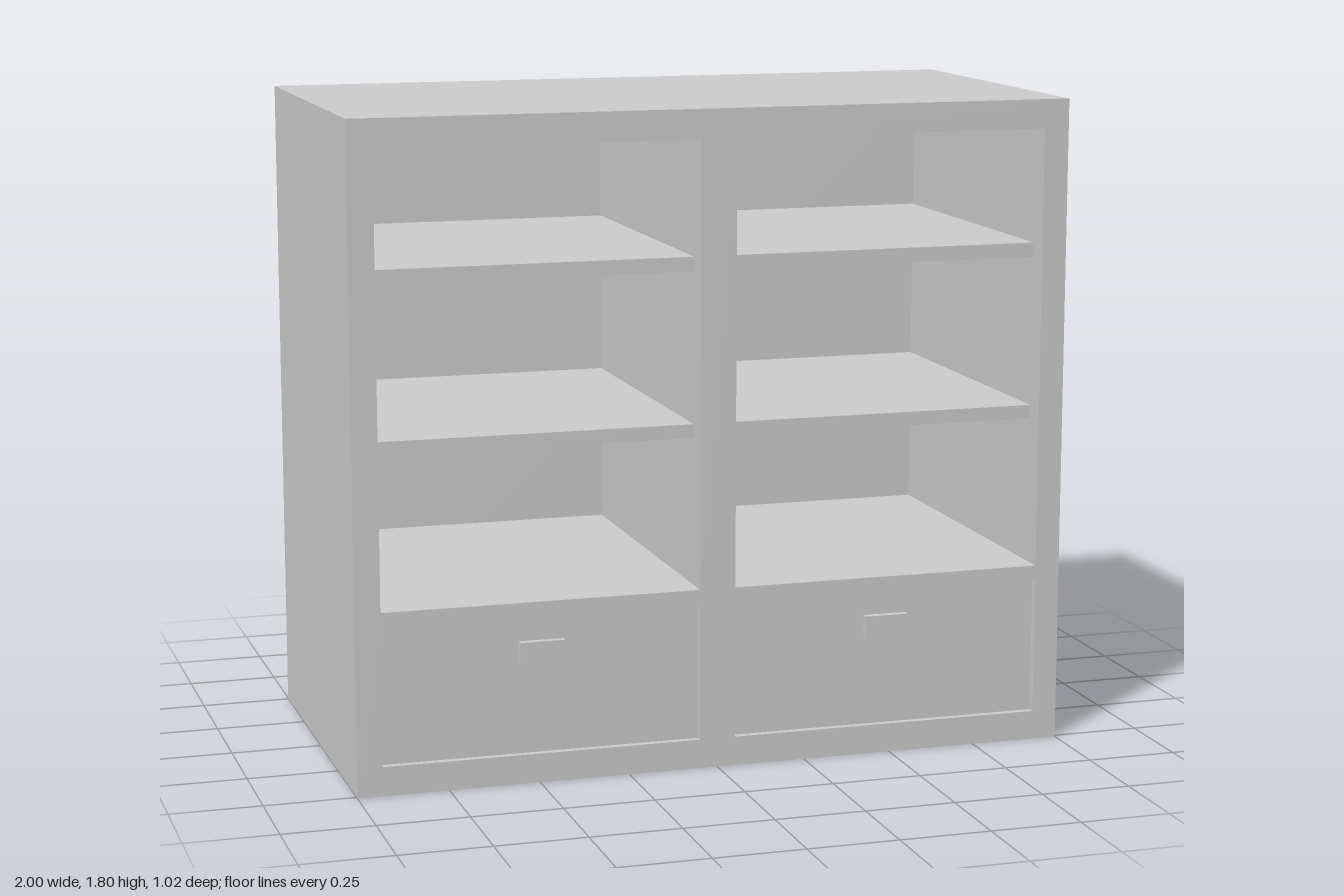
import * as THREE from 'three';

const WIDTH = 2, HEIGHT = 1.8, FRONT = 0.51, BACK = -0.51, BACK_THICKNESS = 0.04;
const BAY_INNER = 0.05, BAY_OUTER = 0.93;        // each bay's extent in |x|
const SHELF_BAY = [0.5, 1.72], DRAWER_BAY = [0.08, 0.455];

const material = new THREE.MeshStandardMaterial({ color: 0xcccccc });

function addMesh(parent, name, geometry) {
  const mesh = new THREE.Mesh(geometry, material);
  mesh.name = name;
  parent.add(mesh);
}

// Box given by its minimum and maximum on each axis
function addBox(parent, name, [x0, x1], [y0, y1], [z0, z1]) {
  const geometry = new THREE.BoxGeometry(x1 - x0, y1 - y0, z1 - z0);
  geometry.translate((x0 + x1) / 2, (y0 + y1) / 2, (z0 + z1) / 2);
  addMesh(parent, name, geometry);
}

function rectangle(Type, [x0, x1], [y0, y1]) {
  return new Type([[x0, y0], [x1, y0], [x1, y1], [x0, y1]].map(([x, y]) => new THREE.Vector2(x, y)));
}

export function createModel() {
  const cabinet = new THREE.Group();
  cabinet.name = 'cabinet';

  const bays = [
    { side: 'right', x: [-BAY_OUTER, -BAY_INNER] },
    { side: 'left', x: [BAY_INNER, BAY_OUTER] },
  ];

  // Carcass: sides, top, base and dividers in one extrusion, open at the front
  const outline = rectangle(THREE.Shape, [-WIDTH / 2, WIDTH / 2], [0, HEIGHT]);
  for (const { x } of bays) {
    outline.holes.push(rectangle(THREE.Path, x, SHELF_BAY), rectangle(THREE.Path, x, DRAWER_BAY));
  }
  const innerBack = BACK + BACK_THICKNESS;
  const carcass = new THREE.ExtrudeGeometry(outline, { depth: FRONT - innerBack, bevelEnabled: false });
  carcass.translate(0, 0, innerBack);
  addMesh(cabinet, 'carcass', carcass);
  addBox(cabinet, 'backPanel', [-WIDTH / 2, WIDTH / 2], [0, HEIGHT], [BACK, innerBack]);

  for (const { side, x } of bays) {
    // Two shelves, set back from the front edge
    addBox(cabinet, `${side}LowerShelf`, x, [0.907, 0.945], [innerBack, 0.45]);
    addBox(cabinet, `${side}UpperShelf`, x, [1.36, 1.4], [innerBack, 0.45]);

    // Drawer with a small block handle
    const drawer = new THREE.Group();
    drawer.name = `${side}Drawer`;
    const middle = (x[0] + x[1]) / 2;
    addBox(drawer, 'drawerBody', x, DRAWER_BAY, [innerBack, 0.49]);
    addBox(drawer, 'drawerHandle', [middle - 0.062, middle + 0.062], [0.33, 0.39], [0.49, FRONT]);
    cabinet.add(drawer);
  }
  return cabinet;
}
